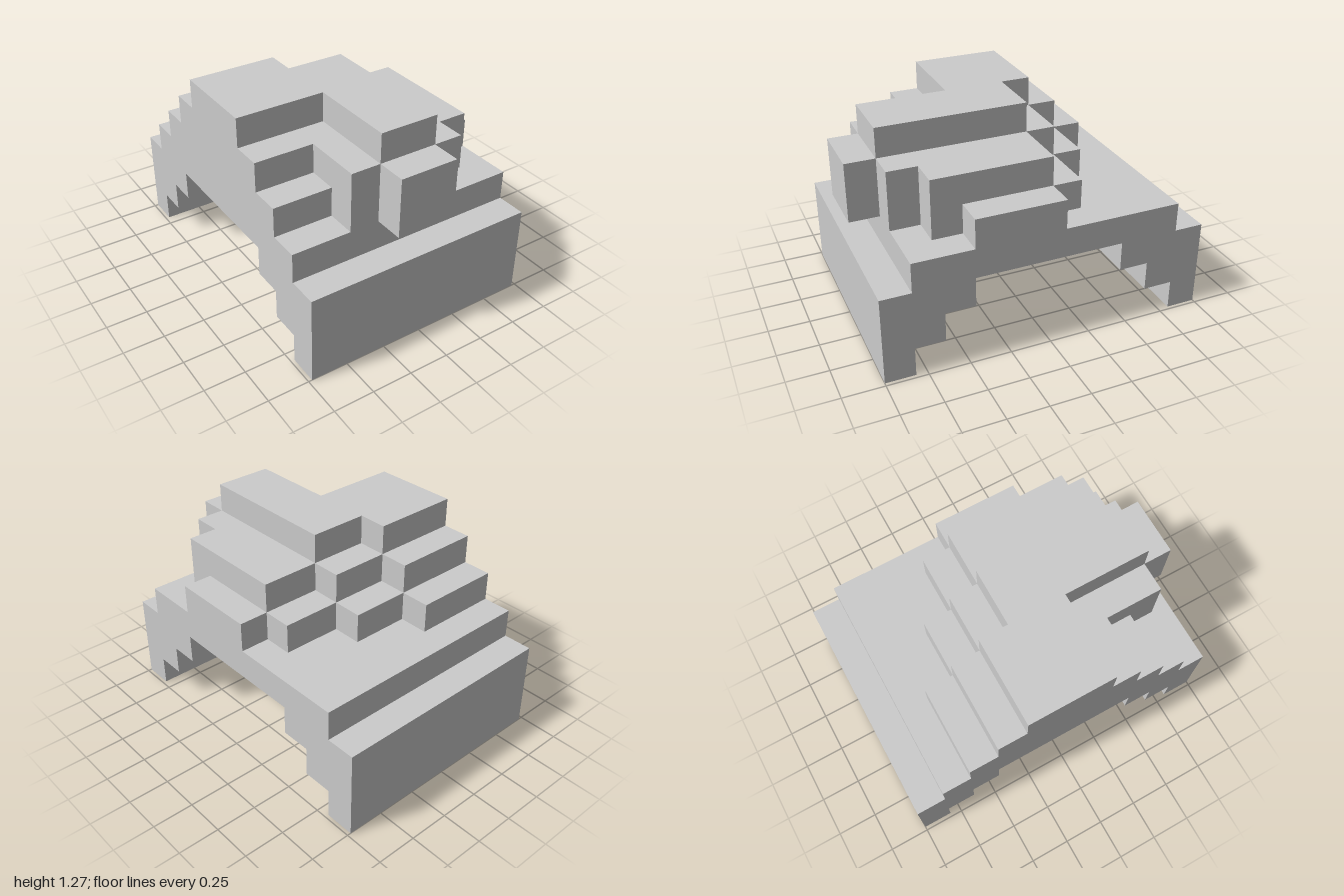
import * as THREE from 'three';

const U = 2 / 11; // one block of the grid
const material = new THREE.MeshStandardMaterial({ color: 0xcccccc, flatShading: true });

// Extrudes a side profile of [z, y] points (in blocks) from x0 to x1.
function slab(name, x0, x1, points) {
  const shape = new THREE.Shape(points.map(([z, y]) => new THREE.Vector2(z * U, y * U)));
  const geometry = new THREE.ExtrudeGeometry(shape, { depth: (x1 - x0) * U, bevelEnabled: false });
  geometry.rotateY(-Math.PI / 2).translate(x1 * U, 0, 0);
  const mesh = new THREE.Mesh(geometry, material);
  mesh.name = name;
  return mesh;
}

// Stepped profile standing on the arch: each step is [zStart, height], ending at zEnd.
function terrace(name, x0, x1, steps, zEnd) {
  const points = [[zEnd, 4], [steps[0][0], 4]];
  steps.forEach(([z, h], i) => {
    points.push([z, h], [i + 1 < steps.length ? steps[i + 1][0] : zEnd, h]);
  });
  return slab(name, x0, x1, points);
}

export function createModel() {
  const group = new THREE.Group();
  group.name = 'steppedArch';

  // Arch: half of its outline, mirrored front to back
  const inner = [[5.5, 0], [4.5, 0], [4.5, 1], [3.5, 1], [3.5, 2], [2.5, 2], [2.5, 3]];
  const outer = [[4.5, 4], [4.5, 3], [5.5, 3]];
  const half = [...outer, ...inner];
  const mirrored = half.map(([z, y]) => [-z, y]).reverse();
  group.add(slab('arch', -4, 4, [...half, ...mirrored]));

  // Terraces, from the model's right to its left
  group.add(
    terrace('rightTerrace', -4, -2, [[-3.5, 5], [-2.5, 6], [-1.5, 7], [1.5, 6], [2.5, 5]], 3.5),
    terrace('rightButtress', -2, -1, [[-3.5, 5], [-2.5, 6], [-1.5, 7], [1.5, 6]], 4.5),
    terrace('centreRidge', -1, 1, [[-2.5, 5], [-1.5, 6], [-0.5, 7]], 4.5),
    terrace('leftButtress', 1, 2, [[-1.5, 5], [-0.5, 6]], 4.5),
    terrace('leftTerrace', 2, 3, [[-1.5, 5], [-0.5, 6]], 3.5),
    terrace('leftStep', 3, 4, [[-0.5, 5]], 2.5)
  );

  // Block overhanging the front ledge
  const block = new THREE.Mesh(new THREE.BoxGeometry(2 * U, 2 * U, U), material);
  block.name = 'frontBlock';
  block.position.set(0, 5 * U, 5 * U);
  group.add(block);

  return group;
}
